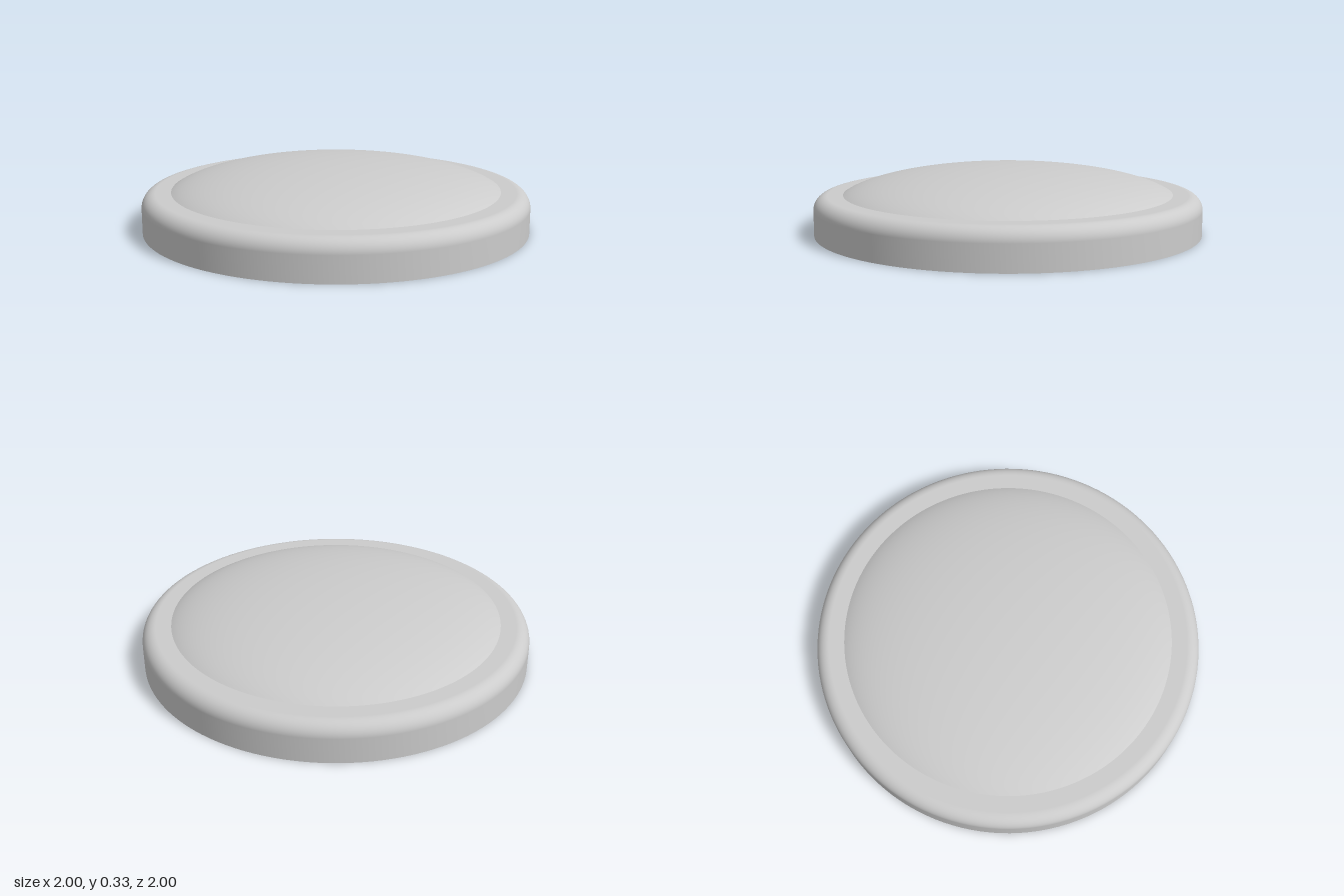
import * as THREE from 'three';

const SEGMENTS = 128;
const material = new THREE.MeshStandardMaterial({ color: 0xcccccc });

function addPart(group, name, geometry) {
  const mesh = new THREE.Mesh(geometry, material);
  mesh.name = name;
  group.add(mesh);
  return mesh;
}

export function createModel() {
  const group = new THREE.Group();
  group.name = 'domedDisc';

  // Rim: straight wall, rounded top edge, flat ledge running in to the dome
  const bevel = 0.07, height = 0.2, domeRadius = 0.85;
  const rim = [new THREE.Vector2(1, 0)];
  for (let i = 0; i <= 12; i++) {
    const a = (i / 12) * Math.PI / 2;
    rim.push(new THREE.Vector2(1 - bevel + bevel * Math.cos(a), height - bevel + bevel * Math.sin(a)));
  }
  rim.push(new THREE.Vector2(domeRadius, height));
  addPart(group, 'rim', new THREE.LatheGeometry(rim, SEGMENTS));

  // Dome: cap of a flattened ellipsoid whose centre sits below the ledge
  const a = 0.9, top = 0.333;
  const edge = Math.acos(domeRadius / a);
  const b = (top - height) / (1 - Math.sin(edge));
  const dome = [];
  for (let i = 0; i <= 32; i++) {
    const t = THREE.MathUtils.lerp(edge, Math.PI / 2, i / 32);
    dome.push(new THREE.Vector2(Math.max(a * Math.cos(t), 0), top - b + b * Math.sin(t)));
  }
  addPart(group, 'dome', new THREE.LatheGeometry(dome, SEGMENTS));

  // Flat underside
  addPart(group, 'underside', new THREE.CircleGeometry(1, SEGMENTS).rotateX(Math.PI / 2));

  return group;
}
